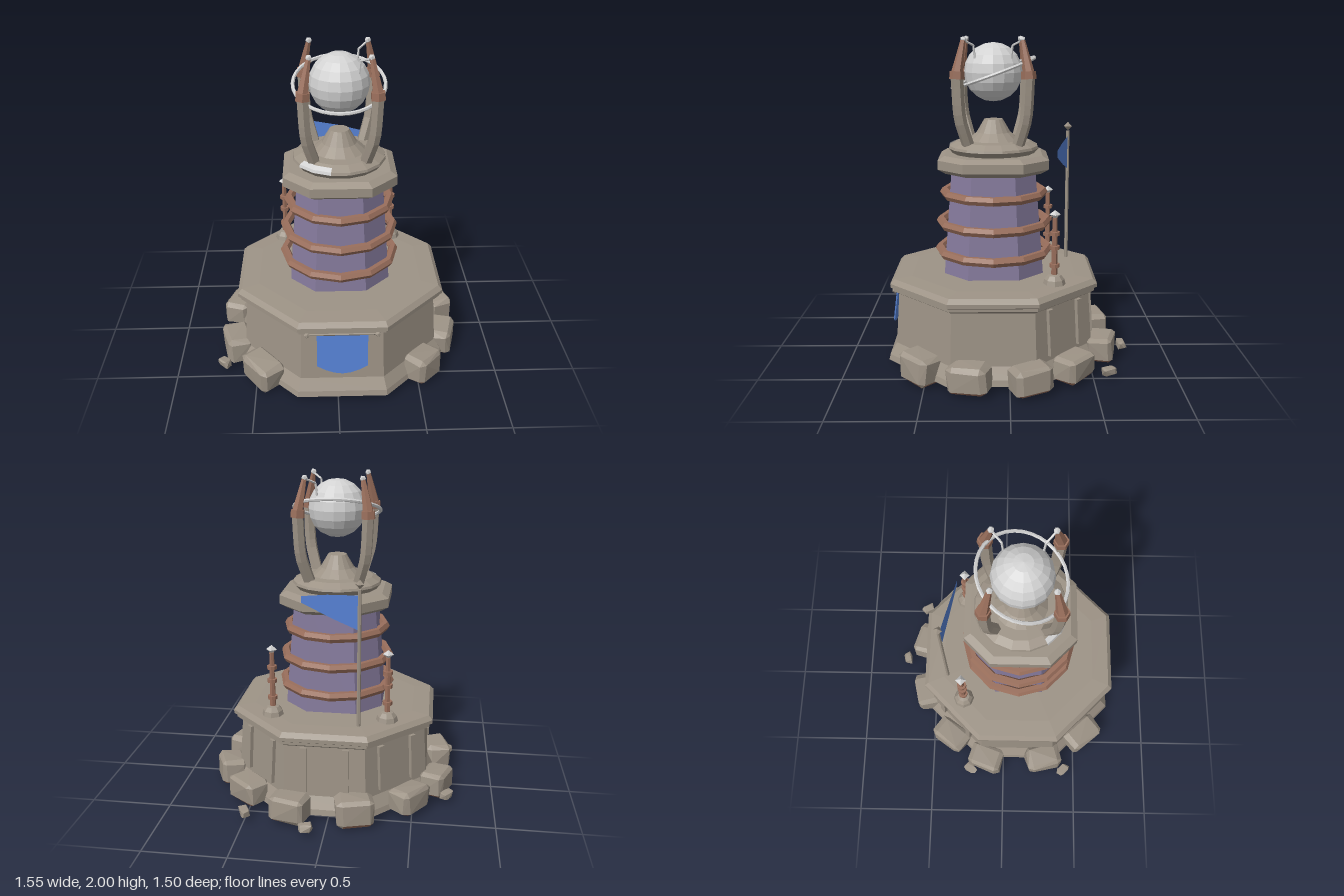
import * as THREE from 'three';
import { ConvexGeometry } from 'three/addons/geometries/ConvexGeometry.js';

const V = (x, y, z) => new THREE.Vector3(x, y, z);

function material(name, color) {
  const m = new THREE.MeshStandardMaterial({ color, flatShading: true, side: THREE.DoubleSide });
  m.name = name;
  return m;
}

// Small seeded generator for the rough stones
let seed = 7;
const rnd = () => (seed = (seed * 16807) % 2147483647) / 2147483647 - 0.5;

export function createModel() {
  seed = 7;
  const stone = material('stone', 0x9d9386);
  const copper = material('copper', 0x9a6f5c);
  const purple = material('purpleWall', 0x857a9c);
  const silver = material('silver', 0xd2d2d2);
  const blue = material('blueCloth', 0x5580d2);

  const model = new THREE.Group();
  model.name = 'orbTower';
  const site = new THREE.Group();
  site.name = 'site';
  site.position.set(0.025, 0, 0.095);
  model.add(site);

  function add(name, geometry, mat, parent = site) {
    const mesh = new THREE.Mesh(geometry, mat);
    mesh.name = name;
    parent.add(mesh);
    return mesh;
  }
  const lathe = (profile, sides, start = 0, length = Math.PI * 2) =>
    new THREE.LatheGeometry(profile.map(([r, y]) => new THREE.Vector2(r, y)), sides, start, length);

  // Octagon with flat faces to the front; radii are measured to the flats.
  // widen lengthens the four axis-aligned sides.
  function octagon(profile, widen = 1) {
    const k = 1 / Math.cos(Math.PI / 8);
    const g = lathe(profile.map(([r, y]) => [r * k, y]), 8, Math.PI / 8);
    const p = g.attributes.position;
    for (let i = 0; i < p.count; i++) {
      if (Math.abs(p.getX(i)) < Math.abs(p.getZ(i))) p.setX(i, p.getX(i) * widen);
      else p.setZ(i, p.getZ(i) * widen);
    }
    return g;
  }

  // Tapered rod from a to b
  function rod(name, a, b, ra, rb, sides, mat, parent = site) {
    const mesh = add(name, new THREE.CylinderGeometry(rb, ra, a.distanceTo(b), sides), mat, parent);
    mesh.position.copy(a).lerp(b, 0.5);
    mesh.quaternion.setFromUnitVectors(V(0, 1, 0), b.clone().sub(a).normalize());
    return mesh;
  }

  // Chamfered rough block with a copper-stained underside
  function rock(name, w, h, d, rough) {
    const pts = [];
    for (const sx of [-1, 1]) for (const sy of [-1, 1]) for (const sz of [-1, 1])
      for (let axis = 0; axis < 3; axis++) {
        const f = [0, 1, 2].map(i => (i === axis ? 1 : 0.72) * (1 + rnd() * rough));
        pts.push(V(sx * f[0] * w / 2, sy * f[1] * h / 2, sz * f[2] * d / 2));
      }
    const g = new ConvexGeometry(pts);
    const n = g.attributes.normal;
    for (let i = 0; i < n.count; i += 3) g.addGroup(i, 3, n.getY(i) < -0.6 ? 1 : 0);
    return add(name, g, [stone, copper]);
  }

  // Hollow plinth with flared foot and moulded rim
  add('plinth', octagon([[0.65, 0.035], [0.642, 0.07], [0.602, 0.14], [0.58, 0.455]]), stone);
  add('plinthRim', octagon([[0.58, 0.455], [0.612, 0.475], [0.612, 0.492], [0.63, 0.502],
    [0.63, 0.525], [0.605, 0.552], [0.5, 0.558], [0, 0.558]]), stone);

  // Ribs on the three rear faces
  for (const turn of [-1, 0, 1]) {
    const face = new THREE.Group();
    face.name = 'rearRibs';
    face.rotation.y = Math.PI + turn * Math.PI / 4;
    site.add(face);
    for (const x of [-0.127, 0.127]) {
      const rib = add('rib', new THREE.BoxGeometry(0.04, 0.28, 0.035), stone, face);
      rib.position.set(x, 0.31, 0.595);
      rib.rotation.x = -0.07;
    }
  }

  // Boulders around the foot
  const boulders = [[-0.19, -0.655], [-0.505, -0.465], [-0.665, -0.215], [-0.66, 0.185], [-0.485, 0.46],
    [0.2, -0.67], [0.495, -0.475], [0.665, -0.215], [0.655, 0.14], [0.505, 0.435]];
  for (const [x, z] of boulders) {
    const b = rock('boulder', 0.24 + rnd() * 0.03, 0.155 + rnd() * 0.04, 0.16, 0.15);
    b.position.set(x, 0.095, z);
    b.rotation.set(rnd() * 0.12, Math.atan2(x, z) + rnd() * 0.2, rnd() * 0.12);
  }
  for (const [x, z] of [[0.08, -0.815], [0.48, -0.685], [-0.735, -0.325], [-0.735, 0.33]]) {
    const p = rock('pebble', 0.075, 0.045, 0.05, 0.6);
    p.position.set(x, 0.05, z);
    p.rotation.y = rnd() * 6;
  }

  // Purple tower, copper hoops and cap
  add('towerWall', octagon([[0.305, 0.555], [0.255, 1.2]], 1.22), purple);
  for (const [y, r] of [[0.68, 0.342], [0.86, 0.333], [1.045, 0.308]]) {
    const hoop = add('hoop', new THREE.TorusGeometry(r, 0.029, 6, 12), copper);
    hoop.rotation.x = Math.PI / 2;
    hoop.position.y = y;
  }
  add('towerCap', octagon([[0.25, 1.185], [0.29, 1.185], [0.335, 1.215], [0.335, 1.27],
    [0.295, 1.295], [0, 1.295]], 1.28), stone);
  const half = Math.PI / 16;
  add('capDisc', lathe([[0.25, 1.29], [0.28, 1.325], [0.275, 1.34], [0.225, 1.368], [0.16, 1.372],
    [0.105, 1.42], [0.058, 1.5], [0, 1.5]], 16, half), stone);
  add('silverInlay', lathe([[0.284, 1.327], [0.279, 1.344], [0.25, 1.36]], 2, -5 * half, 4 * half), silver);

  // Four arms holding the orb
  for (const sx of [-1, 1]) for (const sz of [-1, 1]) {
    const at = (o, y) => V(sx * o, y, sz * o);
    const arm = new THREE.Group();
    arm.name = 'arm';
    site.add(arm);
    const path = new THREE.CatmullRomCurve3([at(0.145, 1.34), at(0.165, 1.41), at(0.194, 1.52), at(0.209, 1.77)]);
    add('armStem', new THREE.TubeGeometry(path, 8, 0.037, 6), stone, arm);
    rod('armCollar', at(0.209, 1.755), at(0.207, 1.8), 0.045, 0.043, 6, copper, arm);
    rod('armHorn', at(0.207, 1.795), at(0.173, 1.975), 0.034, 0.015, 6, copper, arm);
    const tip = add('armTip', new THREE.IcosahedronGeometry(0.02), silver, arm);
    tip.position.copy(at(0.171, 1.981));
    if (sx > 0) {
      const bend = at(0.115, 1.945);
      rod('hookArm', at(0.168, 1.975), bend, 0.007, 0.007, 5, silver, arm);
      rod('hookEnd', bend, at(0.108, 1.87), 0.007, 0.007, 5, silver, arm);
    }
  }

  // Orb and its tilted halo
  add('orb', new THREE.SphereGeometry(0.178, 16, 10), silver).position.y = 1.785;
  const halo = add('halo', new THREE.TorusGeometry(0.266, 0.011, 6, 32), silver);
  halo.position.y = 1.78;
  halo.rotation.x = Math.PI / 2 + 0.35;

  // Pair of rear lamp posts
  for (const sx of [-1, 1]) {
    const post = new THREE.Group();
    post.name = 'lampPost';
    post.position.set(sx * 0.353, 0, -0.362);
    site.add(post);
    add('postFoot', lathe([[0.068, 0.555], [0.06, 0.585], [0.04, 0.61], [0, 0.618]], 8), stone, post);
    rod('postShaft', V(0, 0.6, 0), V(0, 0.96, 0), 0.019, 0.015, 6, copper, post);
    for (const y of [0.67, 0.78, 0.865])
      add('postRing', new THREE.CylinderGeometry(0.03, 0.03, 0.022, 8), copper, post).position.y = y;
    const gem = add('postGem', new THREE.OctahedronGeometry(0.034), silver, post);
    gem.position.y = 0.98;
    gem.scale.y = 0.8;
  }

  // Flagpole with pennant
  const flag = new THREE.Group();
  flag.name = 'flagpole';
  flag.position.set(-0.19, 0, -0.475);
  flag.rotation.y = -0.25;
  site.add(flag);
  rod('pole', V(0, 0.555, 0), V(0, 1.4, 0), 0.012, 0.011, 6, stone, flag);
  const finial = add('finial', new THREE.OctahedronGeometry(0.027), stone, flag);
  finial.position.y = 1.43;
  const pennant = new THREE.Shape([[0, 1.365], [0.2, 1.35], [0.365, 1.325], [0.365, 1.285], [0.17, 1.21], [0, 1.155]]
    .map(([x, y]) => new THREE.Vector2(x, y)));
  add('pennant', new THREE.ShapeGeometry(pennant), blue, flag);

  // Hanging banner on the front face
  rod('bannerRod', V(-0.2, 0.468, 0.605), V(0.2, 0.468, 0.605), 0.011, 0.011, 6, stone);
  for (const sx of [-1, 1])
    add('rodKnob', new THREE.IcosahedronGeometry(0.02), stone).position.set(sx * 0.207, 0.466, 0.608);
  const cloth = new THREE.Shape();
  cloth.moveTo(-0.15, 0);
  cloth.lineTo(-0.15, -0.21);
  cloth.quadraticCurveTo(-0.07, -0.26, 0, -0.262);
  cloth.quadraticCurveTo(0.07, -0.26, 0.15, -0.21);
  cloth.lineTo(0.15, 0);
  const banner = add('banner', new THREE.ExtrudeGeometry(cloth, { depth: 0.008, bevelEnabled: false, curveSegments: 3 }), blue);
  banner.position.set(0, 0.46, 0.597);
  banner.rotation.x = -0.13;

  return model;
}
